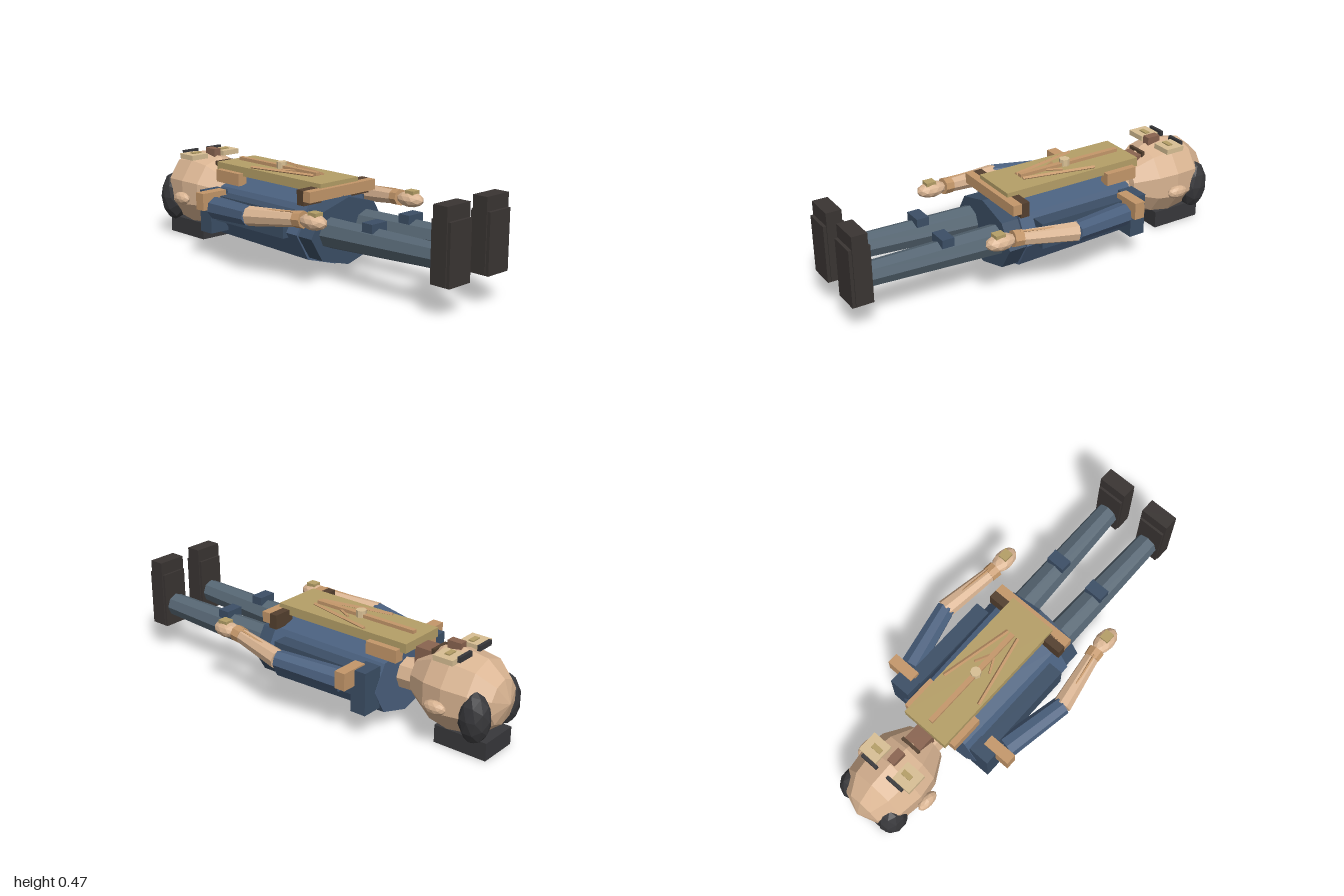
import * as THREE from 'three';

const C = {
  skin: 0xd9b492, navy: 0x4a607e, dark: 0x3c4f66, jeans: 0x566673, tan: 0xb59f67,
  leather: 0xc4976a, brown: 0x54402f, boot: 0x3a3533, hair: 0x38383b, cream: 0xd8bf94, beard: 0x8a6450,
};
const V = (x, y, z) => new THREE.Vector3(x, y, z);

export function createModel() {
  const root = new THREE.Group();
  root.name = 'lyingFigure';
  const mats = {};
  const mat = (c) => (mats[c] ??= new THREE.MeshStandardMaterial({ color: c, flatShading: true }));

  function add(name, geo, color) {
    const m = new THREE.Mesh(geo, mat(color));
    m.name = name;
    root.add(m);
    return m;
  }
  // Box given by its limits on each axis
  function box(name, color, [x0, x1], [y0, y1], [z0, z1]) {
    const g = new THREE.BoxGeometry(x1 - x0, y1 - y0, z1 - z0);
    g.translate((x0 + x1) / 2, (y0 + y1) / 2, (z0 + z1) / 2);
    return add(name, g, color);
  }
  // Tapered limb from a to b
  function limb(name, color, a, b, ra, rb, sides = 8) {
    const m = add(name, new THREE.CylinderGeometry(rb, ra, a.distanceTo(b), sides), color);
    m.position.copy(a).lerp(b, 0.5);
    m.quaternion.setFromUnitVectors(V(0, 1, 0), b.clone().sub(a).normalize());
    return m;
  }
  // Faceted ellipsoid
  function blob(name, color, p, r, detail = 1) {
    const m = add(name, new THREE.IcosahedronGeometry(1, detail), color);
    m.position.copy(p);
    m.scale.copy(r);
    return m;
  }
  // Octagonal prism along z
  function prism(name, color, y, z0, z1, rx, ry, taper = 1) {
    const g = new THREE.CylinderGeometry(1, taper, z1 - z0, 8);
    g.rotateX(Math.PI / 2).scale(rx, ry, 1).translate(0, y, (z0 + z1) / 2);
    return add(name, g, color);
  }
  // Mirrored x limits for a side
  const sx = (s, a, b) => (s > 0 ? [a, b] : [-b, -a]);

  // Torso and jacket hem
  prism('torso', C.navy, 0.21, -0.46, 0.165, 0.245, 0.178, 0.93);
  prism('jacketHem', C.dark, 0.205, 0.15, 0.25, 0.235, 0.158);
  limb('neck', C.skin, V(0, 0.23, -0.44), V(0, 0.235, -0.58), 0.075, 0.075);

  // Apron panel, belt and trim
  box('apronPanel', C.tan, [-0.12, 0.12], [0.385, 0.43], [-0.54, 0.19]);
  box('belt', C.leather, [-0.21, 0.21], [0.36, 0.41], [0.17, 0.215]);
  box('panelSeam', C.leather, [-0.012, 0.012], [0.425, 0.446], [-0.5, 0.05]);
  limb('button', C.cream, V(0, 0.43, -0.2), V(0, 0.463, -0.2), 0.025, 0.025);

  // Head
  const profile = [[0, -0.535], [0.1, -0.55], [0.165, -0.66], [0.182, -0.76], [0.165, -0.88], [0.1, -0.965], [0, -1]];
  const headGeo = new THREE.LatheGeometry(profile.map(([r, z]) => new THREE.Vector2(r, -z)), 10);
  headGeo.rotateX(-Math.PI / 2).scale(1, 1.06, 1).translate(0, 0.247, 0);
  add('head', headGeo, C.skin);
  box('headRest', C.hair, [-0.1, 0.1], [0, 0.085], [-0.955, -0.69]);
  box('nose', C.beard, [-0.02, 0.02], [0.4, 0.46], [-0.755, -0.685]);
  box('mouth', C.brown, [-0.05, 0.05], [0.375, 0.41], [-0.64, -0.625]);
  box('goatee', C.beard, [-0.045, 0.045], [0.31, 0.395], [-0.63, -0.535]);

  for (const s of [1, -1]) {
    const side = s > 0 ? 'left' : 'right';
    const P = (x, y, z) => V(s * x, y, z);
    const b = (n, c, x, y, z) => box(side + n, c, sx(s, ...x), y, z);

    // Face and hair
    b('Lens', C.cream, [0.05, 0.15], [0.415, 0.44], [-0.8, -0.7]);
    b('Eye', C.tan, [0.065, 0.115], [0.44, 0.446], [-0.76, -0.735]);
    b('Brow', C.hair, [0.03, 0.12], [0.425, 0.45], [-0.818, -0.803]);
    blob(side + 'Ear', C.skin, P(0.188, 0.222, -0.745), V(0.028, 0.032, 0.056));
    blob(side + 'Hair', C.hair, P(0.115, 0.2, -0.9), V(0.068, 0.125, 0.075));

    // Shoulders and jacket sides
    b('ShoulderBlock', C.dark, [0.19, 0.295], [0.125, 0.328], [-0.458, -0.378]);
    b('JacketSide', C.dark, [0.19, 0.262], [0.185, 0.31], [-0.45, 0.095]);
    b('Epaulette', C.leather, [0.225, 0.365], [0.253, 0.335], [-0.4, -0.347]);
    b('Strap', C.leather, [0.1, 0.15], [0.34, 0.4], [-0.51, -0.345]);
    b('Pouch', C.brown, [0.1, 0.21], [0.34, 0.41], [0.13, 0.175]);

    // Diagonal trim on the apron
    limb(side + 'PanelTrim', C.leather, P(0.105, 0.433, -0.3), P(0.03, 0.433, 0.05), 0.009, 0.009, 4);
    limb(side + 'PanelTrimShort', C.leather, P(0.045, 0.433, -0.16), P(0.01, 0.433, -0.09), 0.007, 0.007, 4);

    // Arm
    limb(side + 'UpperArm', C.navy, P(0.295, 0.26, -0.33), P(0.362, 0.288, -0.015), 0.055, 0.046);
    limb(side + 'Forearm', C.skin, P(0.362, 0.288, -0.02), P(0.314, 0.315, 0.27), 0.046, 0.034);
    limb(side + 'ForearmStripe', C.leather, P(0.35, 0.332, 0.09), P(0.325, 0.347, 0.25), 0.006, 0.006, 4);
    limb(side + 'Cuff', C.leather, P(0.318, 0.313, 0.24), P(0.313, 0.317, 0.285), 0.038, 0.04);
    blob(side + 'Hand', C.skin, P(0.313, 0.318, 0.345), V(0.046, 0.037, 0.075));
    b('HandPlate', C.tan, [0.29, 0.335], [0.345, 0.363], [0.33, 0.38]);

    // Leg and boot
    limb(side + 'Leg', C.jeans, P(0.113, 0.215, 0.2), P(0.125, 0.24, 0.92), 0.073, 0.056);
    b('KneePad', C.dark, [0.07, 0.165], [0.275, 0.316], [0.49, 0.55]);
    b('Boot', C.boot, [0.06, 0.193], [0.138, 0.412], [0.9, 1]);
    b('BootToe', C.boot, [0.054, 0.199], [0.145, 0.475], [0.912, 0.985]);
  }
  return root;
}
